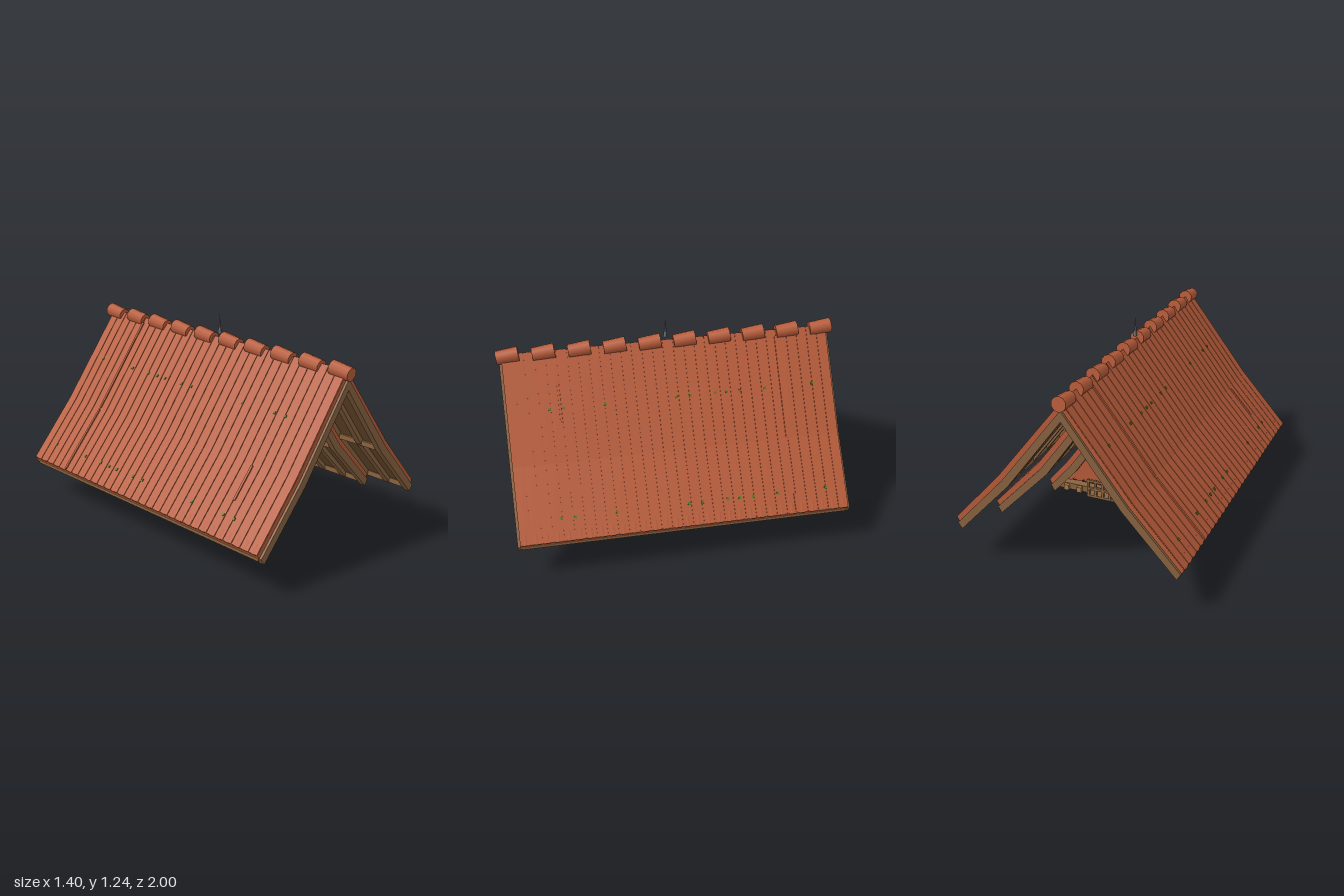
import * as THREE from 'three';

const mat = (name, color, side = THREE.FrontSide) => {
  const m = new THREE.MeshStandardMaterial({ color, side });
  m.name = name;
  return m;
};

export function createModel() {
  const root = new THREE.Group();
  root.name = 'tiledRoofs';
  const tile = mat('terracotta', 0xb85c3a);
  const wood = mat('timber', 0x8a6340);
  const board = mat('darkTimber', 0x73522f);
  const light = mat('paleTimber', 0xa87c4b);
  const leaf = mat('ivyGreen', 0x1f380c, THREE.DoubleSide);
  const moss = mat('moss', 0x4f7a1c);
  const metal = mat('greyMetal', 0x6c7074);
  const dark = mat('shadowGap', 0x2a1d15);

  const add = (parent, name, geo, m, x = 0, y = 0, z = 0) => {
    const mesh = new THREE.Mesh(geo, m);
    mesh.name = name;
    mesh.position.set(x, y, z);
    parent.add(mesh);
    return mesh;
  };
  const box = (parent, name, m, w, h, d, x, y, z) =>
    add(parent, name, new THREE.BoxGeometry(w, h, d), m, x, y, z);

  // Points of one side of the roof, sunk by d below the tile surface
  const layer = (p, d) => [
    [p.eave[0] - 0.5 * d, p.eave[1] - 0.8 * d],
    [p.mid[0] - 0.78 * d, p.mid[1] - 0.63 * d],
    [0, p.ridge - 1.4 * d],
  ];
  // Bent chevron slab between two depths, running from z0 to z1
  const chevron = (p, top, bottom, z0, z1) => {
    const a = layer(p, top), b = layer(p, bottom);
    const flip = ([x, y]) => [-x, y];
    const pts = [a[0], a[1], a[2], flip(a[1]), flip(a[0]), flip(b[0]), flip(b[1]), b[2], b[1], b[0]];
    const geo = new THREE.ExtrudeGeometry(
      new THREE.Shape(pts.map(q => new THREE.Vector2(...q))), { depth: z1 - z0, bevelEnabled: false });
    return geo.translate(0, 0, z0);
  };

  function roof(name, p) {
    const g = new THREE.Group();
    g.name = name;
    root.add(g);
    const L = p.half;
    add(g, 'tileBed', chevron(p, 0.005, 0.032, -L + 0.01, L - 0.01), tile);
    add(g, 'soffitBoards', chevron(p, 0.032, 0.045, -L + 0.01, L - 0.01), board);
    // Tile columns with narrow seams, each ending in a rounded eave tile
    const n = Math.round(L * 2 / 0.062), step = (2 * L - 0.02) / n;
    const tilt = Math.atan2(p.eave[0] - p.mid[0], p.mid[1] - p.eave[1]);
    for (let i = 0; i < n; i++) {
      const z = -L + 0.01 + i * step;
      add(g, 'tileColumn', chevron(p, 0, 0.01, z + 0.002, z + step - 0.002), tile);
      for (const s of [-1, 1]) {
        const end = add(g, 'eaveTile', new THREE.CylinderGeometry(step * 0.45, step * 0.45, 0.06, 8), tile,
          s * (p.eave[0] - 0.032), p.eave[1] + 0.008, z + step / 2);
        end.rotation.z = s * tilt;
        end.scale.x = 0.75;
      }
    }
    // Bargeboards at both gables
    for (const s of [-1, 1]) {
      const z = s * (L - 0.015);
      add(g, 'bargeboard', chevron(p, 0.033, 0.08, z - 0.02, z + 0.02), wood);
    }
    // Rafters and lengthwise purlins under the slopes
    const r = Math.round(L * 2 / 0.16);
    for (let i = 1; i < r; i++) {
      const z = -L + i * 2 * L / r;
      add(g, 'rafter', chevron(p, 0.044, 0.072, z - 0.02, z + 0.02), wood);
    }
    const low = layer(p, 0.055), len = 2 * L - 0.04;
    for (const s of [-1, 1]) {
      box(g, 'eaveFascia', wood, 0.025, 0.032, len, s * (low[0][0] - 0.006), low[0][1] + 0.012, 0);
      box(g, 'purlin', wood, 0.03, 0.03, len, s * low[1][0], low[1][1], 0);
    }
    box(g, 'ridgeBeam', wood, 0.03, 0.04, len, 0, low[2][1] - 0.01, 0);
    // Overlapping ridge caps, each rising toward the back
    const capL = L + 0.02, caps = Math.round(capL * 10), pitch = (2 * capL - 0.13) / (caps - 1);
    for (let i = 0; i < caps; i++) {
      const cap = add(g, 'ridgeCap', new THREE.CylinderGeometry(0.044, 0.04, 0.13, 10).rotateX(-Math.PI / 2),
        tile, 0, p.ridge - 0.012, -capL + 0.065 + i * pitch);
      cap.rotation.x = 0.12;
    }
    // Finial spike
    add(g, 'finial', new THREE.ConeGeometry(0.012, p.spike, 6), metal, 0, p.ridge + 0.02 + p.spike / 2, 0.01);
    return g;
  }

  const large = { eave: [0.695, 0.265], mid: [0.4, 0.595], ridge: 1.11, half: 0.975, spike: 0.12 };
  const medium = { eave: [0.575, 0.265], mid: [0.29, 0.57], ridge: 0.955, half: 0.73, spike: 0.06 };
  const small = { eave: [0.39, 0.285], mid: [0.27, 0.43], ridge: 0.795, half: 0.41, spike: 0.05 };
  const big = roof('largeRoof', large);
  roof('mediumRoof', medium);
  const little = roof('smallRoof', small);

  // Tile-hung gable walls with a scalloped lower edge
  const wall = new THREE.Shape();
  wall.moveTo(0, 0.72);
  wall.lineTo(-0.3, 0.3);
  for (let i = 0; i < 10; i++) {
    const x = -0.3 + i * 0.06;
    wall.quadraticCurveTo(x + 0.03, 0.275, x + 0.06, 0.308);
  }
  wall.closePath();
  const slit = new THREE.Shape([[-0.015, 0.62], [0.015, 0.62], [0.015, 0.68], [0, 0.695], [-0.015, 0.68]]
    .map(q => new THREE.Vector2(...q)));
  for (const s of [-1, 1]) {
    const gable = new THREE.Group();
    gable.name = 'gableEnd';
    gable.rotation.y = s > 0 ? 0 : Math.PI;
    little.add(gable);
    add(gable, 'hungTiles', new THREE.ExtrudeGeometry(wall, { depth: 0.02, bevelEnabled: false }), tile, 0, 0, 0.34);
    add(gable, 'ventSlit', new THREE.ExtrudeGeometry(slit, { depth: 0.006, bevelEnabled: false }), dark, 0, 0, 0.36);
    box(gable, 'tieBeam', wood, 0.73, 0.04, 0.05, 0, 0.25, 0.345);
    for (const [x, w] of [[-0.285, 0.03], [-0.2, 0.03], [0, 0.1], [0.2, 0.03], [0.285, 0.03]])
      box(gable, 'beamEnd', light, w, 0.034, 0.06, x, 0.247, 0.36);
  }
  // Side plates, bracket rows and ceiling inside the square frame
  for (const s of [-1, 1]) {
    box(little, 'wallPlate', wood, 0.05, 0.04, 0.64, s * 0.335, 0.25, 0);
    box(little, 'innerBoard', light, 0.05, 0.02, 0.6, s * 0.26, 0.27, 0);
    box(little, 'innerBoard', light, 0.47, 0.02, 0.05, 0, 0.27, s * 0.26);
    for (let i = -4; i <= 4; i++)
      box(little, 'bracket', light, 0.06, 0.03, 0.03, s * 0.345, 0.247, i * 0.075);
  }
  box(little, 'ceilingPlate', metal, 0.32, 0.015, 0.32, 0, 0.27, 0);

  // Little timber balcony on the rear gable
  const balcony = new THREE.Group();
  balcony.name = 'rearBalcony';
  root.add(balcony);
  box(balcony, 'deck', wood, 0.2, 0.015, 0.1, 0, 0.28, -0.43);
  for (const y of [0.33, 0.38]) box(balcony, 'rail', wood, 0.2, 0.014, 0.014, 0, y, -0.475);
  for (let i = -2; i <= 2; i++) box(balcony, 'post', wood, 0.014, 0.11, 0.014, i * 0.046, 0.335, -0.475);

  // Thin raised seams and moss specks on the large roof
  const onSlope = (name, m, s, y0, y1, z, w, lift) => {
    const up = y => y > large.mid[1]
      ? large.mid[0] * (large.ridge - y) / (large.ridge - large.mid[1])
      : large.mid[0] + (large.eave[0] - large.mid[0]) * (large.mid[1] - y) / (large.mid[1] - large.eave[1]);
    const x0 = up(y0), x1 = up(y1);
    const strip = box(big, name, m, 0.008, Math.hypot(x0 - x1, y1 - y0), w,
      s * ((x0 + x1) / 2 + lift), (y0 + y1) / 2 + lift * 0.6, z);
    strip.rotation.z = s * Math.atan2(x0 - x1, y1 - y0);
  };
  for (const [s, y0, y1, z] of [[1, 0.78, 0.96, 0.66], [1, 0.595, 1.08, -0.65], [1, 0.27, 0.35, -0.65],
    [-1, 0.43, 0.59, 0.66], [-1, 0.6, 1.08, -0.65], [-1, 0.27, 0.59, -0.65]])
    onSlope('raisedSeam', tile, s, y0, y1, z, 0.014, 0.003);
  for (const s of [-1, 1])
    for (const y of [0.36, 0.84])
      for (const z of [0.72, 0.64, 0.4, -0.02, -0.1, -0.25, -0.32, -0.4, -0.55, -0.84])
        onSlope('mossSpeck', moss, s, y - 0.006, y + 0.006, z, 0.014, 0.001);

  // Hanging ivy: overlapping pointed leaves tapering downward
  const ivy = new THREE.Group();
  ivy.name = 'hangingIvy';
  root.add(ivy);
  const leaves = [[0, 0.19, 0.12, 0.3], [-0.03, 0.17, 0.1, -0.4], [0.05, 0.185, 0.13, 1.3], [0.03, 0.145, 0.1, 0.5],
    [0.05, 0.11, 0.08, 1.0], [0.01, 0.1, 0.07, -0.3], [0.04, 0.08, 0.07, 0.9], [0.02, 0.06, 0.05, -0.6],
    [0.03, 0.04, 0.04, 0.6], [0.017, 0.023, 0.03, 0.1]];
  leaves.forEach(([x, y, s, turn], i) => {
    const shape = new THREE.Shape([[0, -0.5], [0.42, -0.05], [0.25, 0.42], [-0.1, 0.3], [-0.4, 0.42], [-0.32, -0.1]]
      .map(([a, b]) => new THREE.Vector2(a * s, b * s)));
    const l = add(ivy, 'ivyLeaf', new THREE.ShapeGeometry(shape), leaf, x, y, 0.012 + 0.006 * (i % 3));
    l.rotation.set(0.1, i % 2 ? 0.35 : -0.3, turn);
  });
  add(ivy, 'ivyStem', new THREE.CylinderGeometry(0.006, 0.004, 0.25, 5), leaf, 0.01, 0.145, 0.01);
  return root;
}
